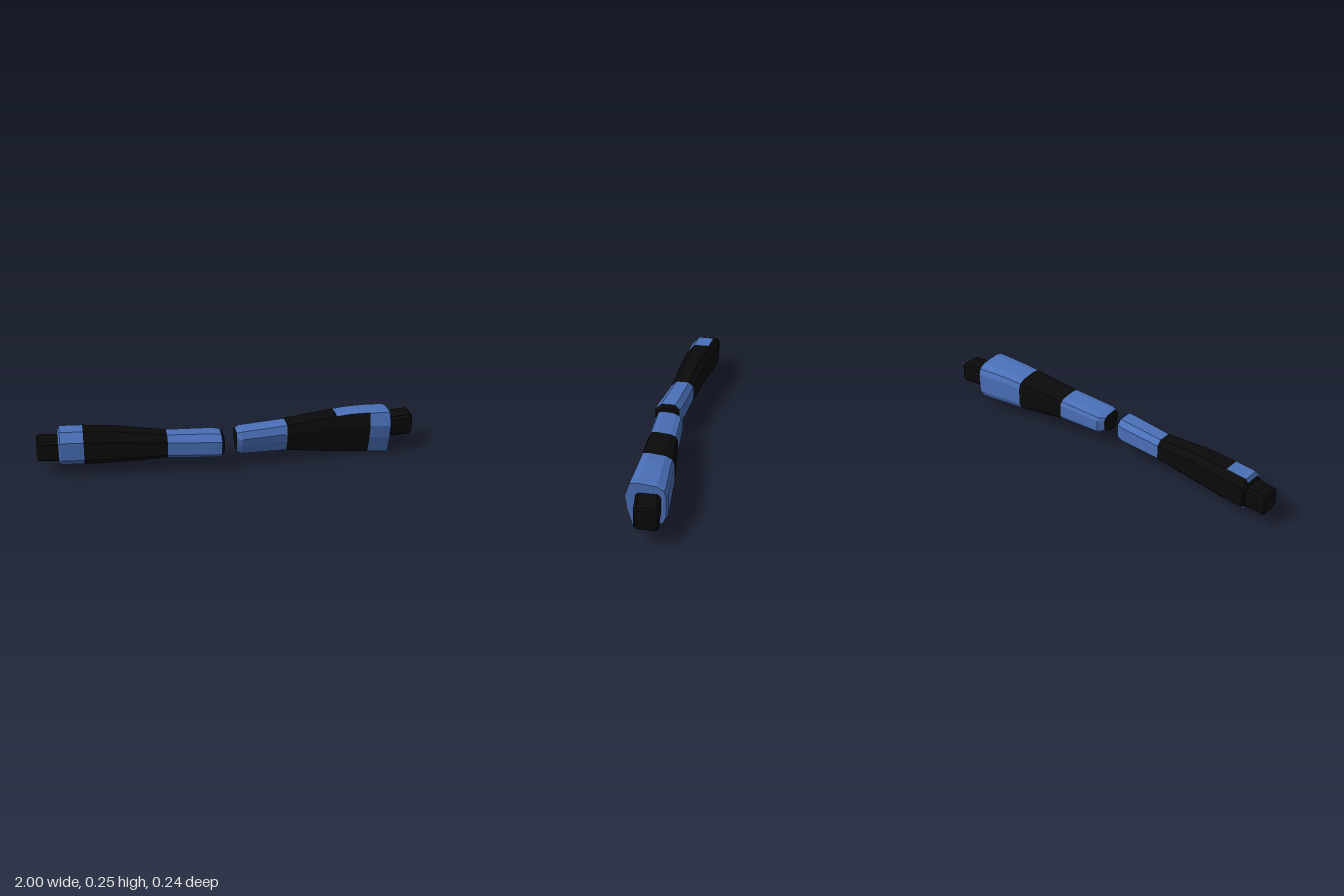
import * as THREE from 'three';

const blue = new THREE.MeshStandardMaterial({ color: 0x4a70b8 });
const black = new THREE.MeshStandardMaterial({ color: 0x0a0a0a });
blue.name = 'armour blue';
black.name = 'sleeve black';

// Unit outlines [z, y], running along the bottom to the back, up, and over to the front
const LEFT_OUTLINE = [
  [0.81, 0], [0.47, 0], [0.08, 0.16], [0, 0.3], [0, 0.74], [0.06, 0.88],
  [0.25, 0.96], [0.7, 1], [0.88, 0.98], [1, 0.7], [0.95, 0.4],
];
const RIGHT_OUTLINE = [
  [0.8, 0], [0.22, 0], [0, 0.2], [0, 0.8], [0.2, 1], [0.75, 1], [1, 0.75], [1, 0.2],
];
const STUB_OUTLINE = [
  [0.88, 0], [0.12, 0], [0, 0.12], [0, 0.88], [0.12, 1], [0.88, 1], [1, 0.88], [1, 0.12],
];

// Flat-faced loft through stations [x, yMin, yMax, zMin, zMax];
// isBlue(segment, side) picks the colour, with segment -1 / n for the end caps
function loft(name, outline, stations, isBlue) {
  const n = outline.length;
  const rings = stations.map(([x, y0, y1, z0, z1]) =>
    outline.map(([u, v]) => [x, y0 + (y1 - y0) * v, z0 + (z1 - z0) * u]));
  const centres = stations.map(([x, y0, y1, z0, z1]) => [x, (y0 + y1) / 2, (z0 + z1) / 2]);
  const faces = { blue: [], black: [] };
  const add = (flag, ...points) => faces[flag ? 'blue' : 'black'].push(...points.flat());
  const last = rings.length - 1;
  for (let i = 0; i < n; i++) {
    const j = (i + 1) % n;
    for (let s = 0; s < last; s++) {
      const a = rings[s][i], b = rings[s][j], c = rings[s + 1][j], d = rings[s + 1][i];
      add(isBlue(s, i), a, b, c, a, c, d);
    }
    add(isBlue(-1, i), centres[0], rings[0][j], rings[0][i]);
    add(isBlue(last, i), centres[last], rings[last][i], rings[last][j]);
  }
  const geometry = new THREE.BufferGeometry();
  const positions = [...faces.blue, ...faces.black];
  geometry.setAttribute('position', new THREE.Float32BufferAttribute(positions, 3));
  geometry.addGroup(0, faces.blue.length / 3, 0);
  geometry.addGroup(faces.blue.length / 3, faces.black.length / 3, 1);
  geometry.computeVertexNormals();
  const mesh = new THREE.Mesh(geometry, [blue, black]);
  mesh.name = name;
  return mesh;
}

export function createModel() {
  const model = new THREE.Group();
  model.name = 'pair of arms';

  // Left arm: widens outward to a large cuff
  const leftStations = [
    [0.03, 0.08, 0.19, -0.02, 0.09],
    [0.06, 0.065, 0.197, -0.047, 0.1],
    [0.3, 0.06, 0.21, -0.065, 0.088],
    [0.57, 0.022, 0.238, -0.1, 0.077],
    [0.65, 0.015, 0.245, -0.106, 0.075],
    [0.75, 0.006, 0.245, -0.115, 0.076],
    [0.84, 0.001, 0.241, -0.122, 0.08],
    [0.86, 0, 0.238, -0.115, 0.08],
  ];
  const leftBlue = (s, side) => {
    if (s < 0) return false;
    if (s === 7) return true;                       // open end of the cuff
    if (s < 2) return side >= 2;                    // upper band, dark below
    if (s === 3 || s === 4) return side >= 2 && side <= 7; // back and top plate
    return s >= 5 && side >= 2;                     // cuff
  };
  const left = new THREE.Group();
  left.name = 'leftArm';
  left.add(loft('leftSleeve', LEFT_OUTLINE, leftStations, leftBlue));
  left.add(loft('leftStub', STUB_OUTLINE, [
    [0.8, 0.075, 0.188, -0.082, 0.038],
    [0.99, 0.075, 0.188, -0.107, 0.012],
    [1, 0.083, 0.18, -0.1, 0.004],
  ], () => false));

  // Right arm: slimmer, with a short cuff
  const rightStations = [
    [-0.89, 0.065, 0.215, -0.085, 0.058],
    [-0.88, 0.056, 0.235, -0.092, 0.064],
    [-0.76, 0.054, 0.235, -0.083, 0.073],
    [-0.58, 0.056, 0.226, -0.06, 0.082],
    [-0.33, 0.068, 0.196, -0.035, 0.09],
    [-0.09, 0.064, 0.196, -0.022, 0.118],
    [-0.05, 0.068, 0.192, -0.01, 0.12],
    [-0.036, 0.09, 0.175, 0.004, 0.11],
  ];
  const rightBlue = (s, side) => {
    if (s < 0 || s >= 6) return false;              // dark ends
    if (s < 2) return side !== 2 && side !== 3;     // cuff, dark at the back
    return (s === 4 || s === 5) && side >= 2;       // upper band, dark below
  };
  const right = new THREE.Group();
  right.name = 'rightArm';
  right.add(loft('rightSleeve', RIGHT_OUTLINE, rightStations, rightBlue));
  right.add(loft('rightStub', STUB_OUTLINE, [
    [-1, 0.085, 0.182, -0.075, 0.028],
    [-0.99, 0.078, 0.19, -0.08, 0.036],
    [-0.85, 0.078, 0.19, -0.068, 0.052],
  ], () => false));

  model.add(left, right);
  return model;
}
